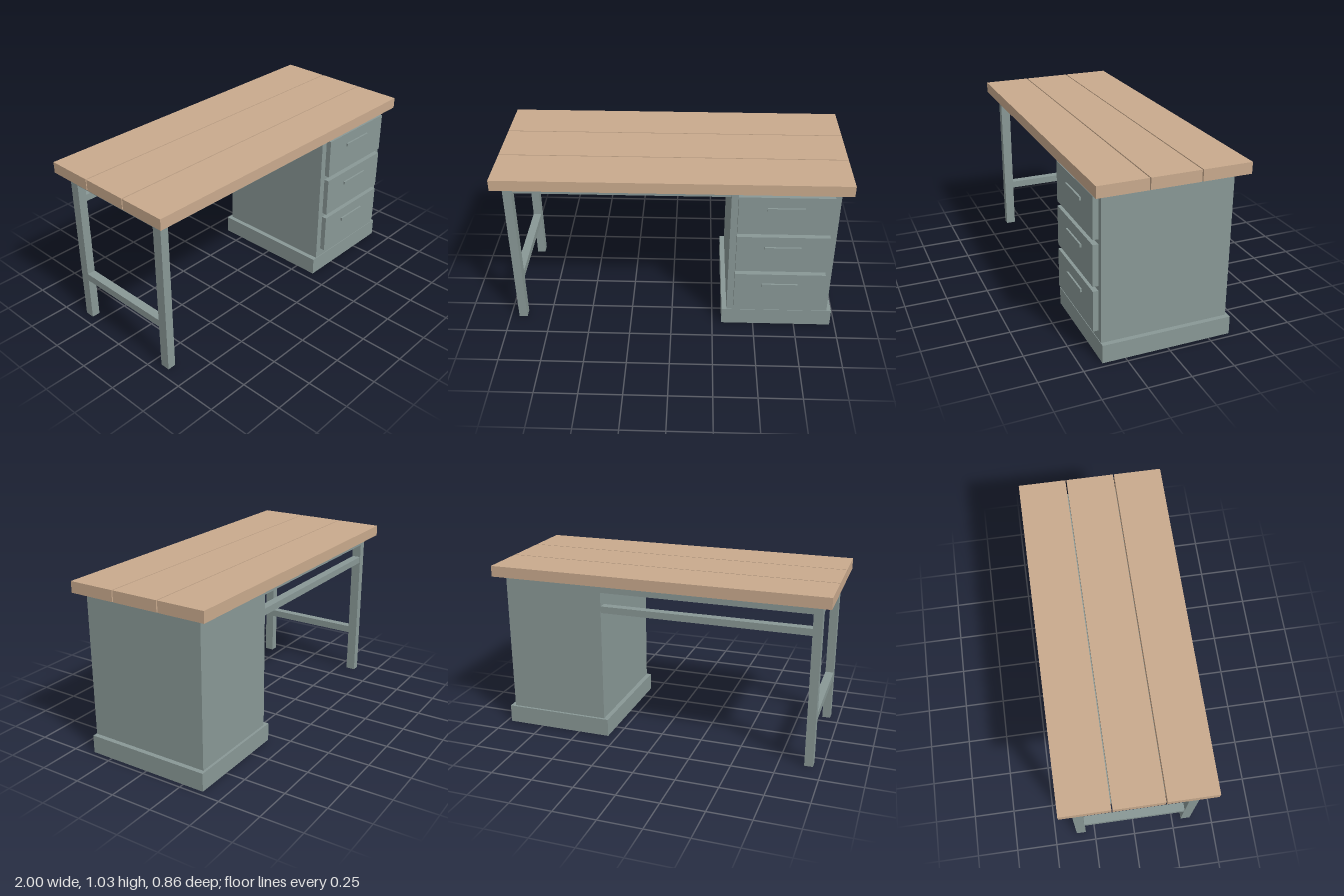
import * as THREE from 'three';

export function createModel() {
  const desk = new THREE.Group();
  desk.name = 'desk';
  const wood = new THREE.MeshStandardMaterial({ color: 0xc9aa8d });
  wood.name = 'warm wood';
  const paint = new THREE.MeshStandardMaterial({ color: 0x899896 });
  paint.name = 'grey green paint';

  // Box given by its lower and upper limits on each axis
  function box(name, material, [x0, x1], [y0, y1], [z0, z1], parent = desk) {
    const mesh = new THREE.Mesh(new THREE.BoxGeometry(x1 - x0, y1 - y0, z1 - z0), material);
    mesh.position.set((x0 + x1) / 2, (y0 + y1) / 2, (z0 + z1) / 2);
    mesh.name = name;
    parent.add(mesh);
    return mesh;
  }

  // Three top planks with narrow gaps
  for (const [z0, z1] of [[-0.43, -0.148], [-0.141, 0.141], [0.148, 0.43]]) {
    box('topPlank', wood, [-1, 1], [0.963, 1.028], [z0, z1]);
  }

  // Panel under the planks
  box('underPanel', paint, [-0.947, 0.335], [0.908, 0.963], [-0.365, 0.365]);

  // Leg frame
  const legX = [-0.947, -0.897];
  box('frontLeg', paint, legX, [0, 0.908], [0.307, 0.365]);
  box('backLeg', paint, legX, [0, 0.908], [-0.365, -0.307]);
  box('legStretcher', paint, legX, [0.27, 0.315], [-0.307, 0.307]);
  box('backRail', paint, [-0.897, 0.335], [0.785, 0.825], [-0.362, -0.312]);

  // Drawer cabinet on a plinth
  const cabinet = new THREE.Group();
  cabinet.name = 'cabinet';
  desk.add(cabinet);
  box('cabinetBody', paint, [0.335, 0.942], [0.108, 0.963], [-0.365, 0.379], cabinet);
  box('plinth', paint, [0.306, 0.97], [0, 0.108], [-0.38, 0.382], cabinet);

  // Drawers with bar handles
  for (let i = 0; i < 3; i++) {
    const y = 0.163 + i * 0.267;
    const drawer = new THREE.Group();
    drawer.name = 'drawer';
    cabinet.add(drawer);
    box('drawerFront', paint, [0.374, 0.904], [y, y + 0.239], [0.379, 0.41], drawer);
    box('drawerHandle', paint, [0.535, 0.744], [y + 0.153, y + 0.172], [0.41, 0.42], drawer);
  }
  return desk;
}
